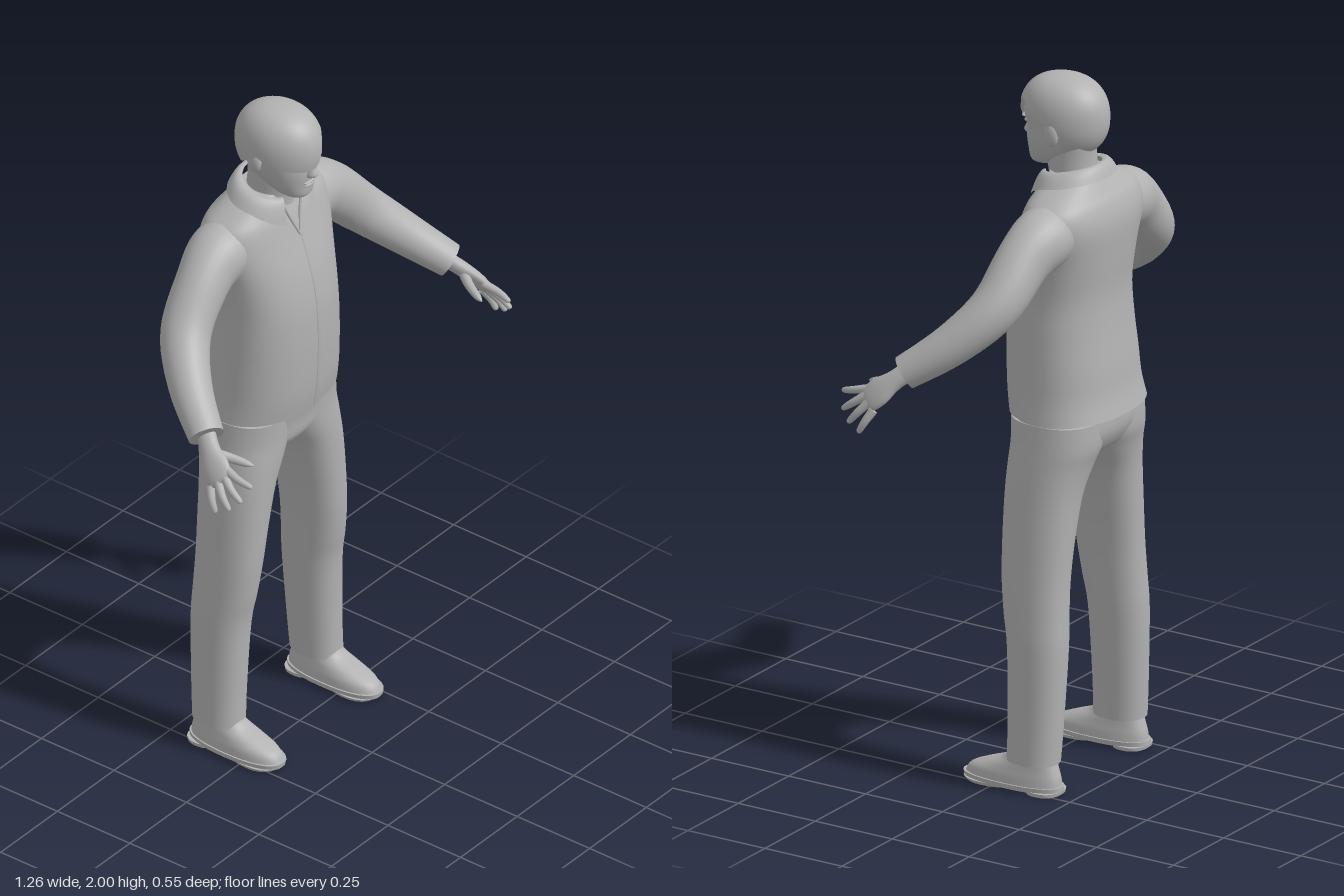
import * as THREE from 'three';

const clay = new THREE.MeshStandardMaterial({ color: 0xb2b2b2, side: THREE.DoubleSide });
clay.name = 'clay grey';
const V = (x, y, z) => new THREE.Vector3(x, y, z);

// Catmull-Rom resampling of a short table of rows
function smooth(rows, n) {
  const out = [], last = rows.length - 1;
  for (let i = 0; i <= n; i++) {
    const t = (i / n) * last, k = Math.min(Math.floor(t), last - 1), f = t - k;
    const [a, b, c, d] = [k - 1, k, k + 1, k + 2].map(q => rows[Math.max(0, Math.min(last, q))]);
    out.push(b.map((_, j) => 0.5 * (2 * b[j] + (c[j] - a[j]) * f
      + (2 * a[j] - 5 * b[j] + 4 * c[j] - d[j]) * f * f
      + (3 * b[j] - a[j] - 3 * c[j] + d[j]) * f * f * f)));
  }
  return out;
}

// Skin over a list of rings of points; closed rings get flat end caps
function skin(name, rings, closed = true) {
  const pos = [], idx = [], m = rings[0].length;
  rings.forEach(r => r.forEach(p => pos.push(p.x, p.y, p.z)));
  for (let j = 0; j < rings.length - 1; j++)
    for (let i = 0; i < (closed ? m : m - 1); i++) {
      const a = j * m + i, b = j * m + (i + 1) % m;
      idx.push(a, b, b + m, a, b + m, a + m);
    }
  if (closed) [rings[0], rings[rings.length - 1]].forEach((r, top) => {
    const base = pos.length / 3, mid = V(0, 0, 0);
    r.forEach(p => { pos.push(p.x, p.y, p.z); mid.addScaledVector(p, 1 / m); });
    pos.push(mid.x, mid.y, mid.z);
    for (let i = 0; i < m; i++) {
      const a = base + i, b = base + (i + 1) % m;
      top ? idx.push(a, b, base + m) : idx.push(b, a, base + m);
    }
  });
  const g = new THREE.BufferGeometry();
  g.setAttribute('position', new THREE.Float32BufferAttribute(pos, 3));
  g.setIndex(idx);
  g.computeVertexNormals();
  const mesh = new THREE.Mesh(g, clay);
  mesh.name = name;
  return mesh;
}

// Upright body part, rows of [y, centre x, half width, front z, back z], bottom to top
function body(name, rows, n = 28, power = 2.4, seg = 40) {
  const e = 2 / power, pw = q => Math.sign(q) * Math.abs(q) ** e;
  return skin(name, (n ? smooth(rows, n) : rows).map(([y, cx, rx, zf, zb]) =>
    Array.from({ length: seg }, (_, i) => {
      const a = (i / seg) * Math.PI * 2;
      return V(cx + rx * pw(Math.sin(a)), y, (zf + zb) / 2 + (zf - zb) / 2 * pw(Math.cos(a)));
    })));
}

// Limb along a path, rows of [x, y, z, radius along ref, radius across]
function limb(name, rows, ref, n = 20, seg = 20) {
  const pts = smooth(rows, n), at = i => V(...pts[Math.max(0, Math.min(n, i))].slice(0, 3));
  return skin(name, pts.map((p, i) => {
    const t = at(i + 1).sub(at(i - 1)).normalize();
    const u = ref.clone().addScaledVector(t, -ref.dot(t)).normalize(), v = t.clone().cross(u);
    return Array.from({ length: seg }, (_, k) => {
      const a = (k / seg) * Math.PI * 2;
      return at(i).addScaledVector(u, p[3] * Math.cos(a)).addScaledVector(v, p[4] * Math.sin(a));
    });
  }));
}

function blob(name, x, y, z, rx, ry, rz, tilt = 0) {
  const mesh = new THREE.Mesh(new THREE.SphereGeometry(1, 20, 14), clay);
  mesh.name = name;
  mesh.position.set(x, y, z);
  mesh.scale.set(rx, ry, rz);
  mesh.rotation.z = tilt;
  return mesh;
}

// Swept hair cap whose lower edge varies around the head
function hair() {
  const rings = [];
  for (let j = 0; j <= 20; j++) rings.push(Array.from({ length: 48 }, (_, i) => {
    const a = (i / 48) * Math.PI * 2, s = Math.sin(a), c = Math.cos(a);
    const front = Math.max(0, c), back = Math.max(0, -c);
    const edge = 1.885 - 0.085 * back + front * (0.01 + 0.045 * Math.tanh((s - 0.3) * 6));
    const phi = Math.acos((edge - 1.885) / 0.115) * (1 - j / 20 * 0.999);
    const r = Math.sin(phi) ** 0.8, h = Math.cos(phi);
    return V(-0.004 + 0.104 * s * r, 1.885 + 0.115 * Math.sign(h) * Math.abs(h) ** 0.9, -0.068 + 0.131 * c * r);
  }));
  return skin('hair', rings);
}

function head() {
  const g = new THREE.Group();
  g.name = 'head';
  g.add(body('neck', [[1.66, 0, 0.075, -0.03, -0.18], [1.72, 0, 0.064, -0.03, -0.17],
    [1.77, 0, 0.062, -0.02, -0.165], [1.82, 0, 0.062, -0.02, -0.165]], 10, 2));
  g.add(body('face', [[1.738, 0, 0.025, 0.02, -0.03], [1.75, 0, 0.046, 0.031, -0.07], [1.78, 0, 0.066, 0.034, -0.12],
    [1.82, 0, 0.08, 0.038, -0.165], [1.86, 0, 0.087, 0.037, -0.185], [1.9, 0, 0.09, 0.045, -0.185],
    [1.95, 0, 0.078, 0.025, -0.165], [1.975, 0, 0.05, -0.01, -0.13]], 28, 2.2));
  g.add(hair());
  g.add(body('nose', [[1.808, 0, 0.011, 0.046, 0.02], [1.818, 0, 0.015, 0.06, 0.02],
    [1.84, 0, 0.009, 0.051, 0.02], [1.872, 0, 0.008, 0.041, 0.02]], 12, 2, 16));
  g.add(blob('upperLip', 0, 1.792, 0.031, 0.024, 0.005, 0.01), blob('lowerLip', 0, 1.782, 0.03, 0.02, 0.006, 0.01));
  for (const s of [1, -1]) {
    g.add(blob('eye', s * 0.035, 1.862, 0.021, 0.015, 0.007, 0.014));
    g.add(blob('brow', s * 0.036, 1.88, 0.026, 0.023, 0.006, 0.013, -s * 0.1));
    g.add(blob('ear', s * 0.091, 1.855, -0.085, 0.013, 0.035, 0.022));
  }
  return g;
}

function jacket() {
  const g = new THREE.Group();
  g.name = 'jacket';
  const rows = [[1.058, 0, 0.213, 0.045, -0.272], [1.12, 0, 0.205, 0.055, -0.258], [1.2, 0, 0.2, 0.06, -0.25],
    [1.3, 0, 0.194, 0.061, -0.238], [1.4, 0, 0.19, 0.055, -0.232], [1.5, 0, 0.2, 0.035, -0.24],
    [1.6, 0, 0.222, 0.002, -0.246], [1.66, 0, 0.212, -0.018, -0.232], [1.695, 0, 0.165, -0.033, -0.208],
    [1.735, 0, 0.08, -0.045, -0.18]];
  g.add(body('jacketBody', rows, 40));
  // Thin overlapping front edge
  const strip = smooth(rows, 40).filter(r => r[0] < 1.62);
  g.add(skin('placket', strip.map(r => [0.001, 0.003, 0.022, 0.03].map((x, i) =>
    V(x, r[0], r[3] + (i % 3 ? 0.003 : -0.002)))), false));
  // Folded collar, open at the front
  const collar = [];
  for (let j = 0; j <= 6; j++) collar.push(Array.from({ length: 41 }, (_, i) => {
    const t = 1 - j / 6, a = 0.45 + (i / 40) * (2 * Math.PI - 0.9), c = Math.cos(a);
    const drop = 0.035 + 0.045 * Math.max(0, c) ** 2;
    return V(Math.sin(a) * (0.078 + 0.055 * t), 1.745 - 0.018 * c - drop * t ** 1.4 + 0.012 * Math.sin(t * 3),
      -0.1 + c * (0.076 + 0.035 * t));
  }));
  g.add(skin('collar', collar, false));
  // Edges of the neck opening
  for (const s of [1, -1]) g.add(limb('neckEdge', [[s * 0.045, 1.725, -0.03, 0.004, 0.004],
    [s * 0.025, 1.67, -0.018, 0.004, 0.004], [0, 1.605, 0.002, 0.004, 0.004]], V(1, 0, 0), 8, 8));
  return g;
}

function arm(s) {
  const g = new THREE.Group();
  g.name = s > 0 ? 'leftArm' : 'rightArm';
  const m = rows => rows.map(([x, ...r]) => [s * x, ...r]);
  g.add(limb('sleeve', m([[0.12, 1.6, -0.125, 0.08, 0.082], [0.2, 1.592, -0.125, 0.088, 0.086],
    [0.28, 1.55, -0.115, 0.079, 0.074], [0.385, 1.445, -0.092, 0.069, 0.07], [0.47, 1.35, -0.01, 0.059, 0.06],
    [0.538, 1.268, 0.098, 0.048, 0.05]]), V(0, 1, 0), 30, 28));
  // Palm, four fingers and thumb
  const across = V(s * 0.03, -0.045, -0.04);
  g.add(limb('palm', m([[0.52, 1.285, 0.075, 0.03, 0.022], [0.553, 1.245, 0.122, 0.029, 0.021],
    [0.573, 1.215, 0.155, 0.041, 0.019], [0.586, 1.19, 0.18, 0.039, 0.015], [0.592, 1.18, 0.192, 0.028, 0.008]]), across, 14));
  const fingers = [[0.568, 1.212, 0.192, 0.568, 1.19, 0.28], [0.58, 1.198, 0.192, 0.594, 1.147, 0.264],
    [0.592, 1.182, 0.18, 0.61, 1.118, 0.235], [0.6, 1.165, 0.16, 0.62, 1.1, 0.195]];
  fingers.forEach(([x, y, z, X, Y, Z]) => {
    const p = [0, 0.5, 0.92, 1].map((t, i) => [x + (X - x) * t + 0.006 * Math.sin(t * 3.1), y + (Y - y) * t,
      z + (Z - z) * t, [0.013, 0.011, 0.008, 0.002][i], [0.013, 0.011, 0.008, 0.002][i]]);
    g.add(limb('finger', m(p), across, 12, 12));
  });
  g.add(limb('thumb', m([[0.555, 1.235, 0.13, 0.017, 0.015], [0.528, 1.222, 0.172, 0.014, 0.013],
    [0.51, 1.212, 0.215, 0.01, 0.01], [0.503, 1.208, 0.235, 0.002, 0.002]]), across, 12, 12));
  return g;
}

function leg(s) {
  const g = new THREE.Group();
  g.name = s > 0 ? 'leftLeg' : 'rightLeg';
  // Trouser leg rows: [y, inner x, outer x, front z, back z]
  const rows = [[0.085, 0.153, 0.277, -0.035, -0.185], [0.2, 0.146, 0.274, -0.035, -0.192], [0.4, 0.132, 0.27, -0.028, -0.2],
    [0.5, 0.124, 0.264, -0.012, -0.198], [0.6, 0.113, 0.257, 0, -0.196], [0.72, 0.092, 0.247, 0.006, -0.2],
    [0.84, 0.06, 0.235, 0.01, -0.208], [0.92, 0.018, 0.226, 0.012, -0.222], [0.98, -0.01, 0.218, 0.012, -0.238],
    [1.05, -0.01, 0.209, 0.015, -0.24]];
  g.add(body('trouserLeg', rows.map(([y, a, b, f, k]) => [y, s * (a + b) / 2, (b - a) / 2, f, k]), 40, 2.3));
  // Shoe with a flat sole and a raised heel
  const x = s * 0.215;
  g.add(body('shoe', [[0.018, x, 0.058, 0.104, -0.195], [0.043, x, 0.055, 0.088, -0.192], [0.064, x, 0.05, 0.04, -0.186],
    [0.09, x, 0.045, -0.025, -0.178], [0.13, x, 0.042, -0.05, -0.17]], 16));
  g.add(body('sole', [[0.008, x, 0.06, 0.108, -0.2], [0.022, x, 0.062, 0.11, -0.2]], 0));
  g.add(body('heel', [[0, x, 0.055, -0.1, -0.198], [0.01, x, 0.056, -0.1, -0.2]], 0));
  g.add(body('forefoot', [[0, x, 0.055, 0.095, -0.05], [0.01, x, 0.06, 0.105, -0.06]], 0));
  return g;
}

export function createModel() {
  const model = new THREE.Group();
  model.name = 'standingMan';
  model.add(head(), jacket());
  model.add(body('hips', [[0.935, 0, 0.14, -0.005, -0.195], [0.96, 0, 0.19, 0.008, -0.222],
    [1.01, 0, 0.21, 0.014, -0.245], [1.08, 0, 0.203, 0.03, -0.245]], 12));
  for (const s of [1, -1]) model.add(arm(s), leg(s));
  return model;
}
